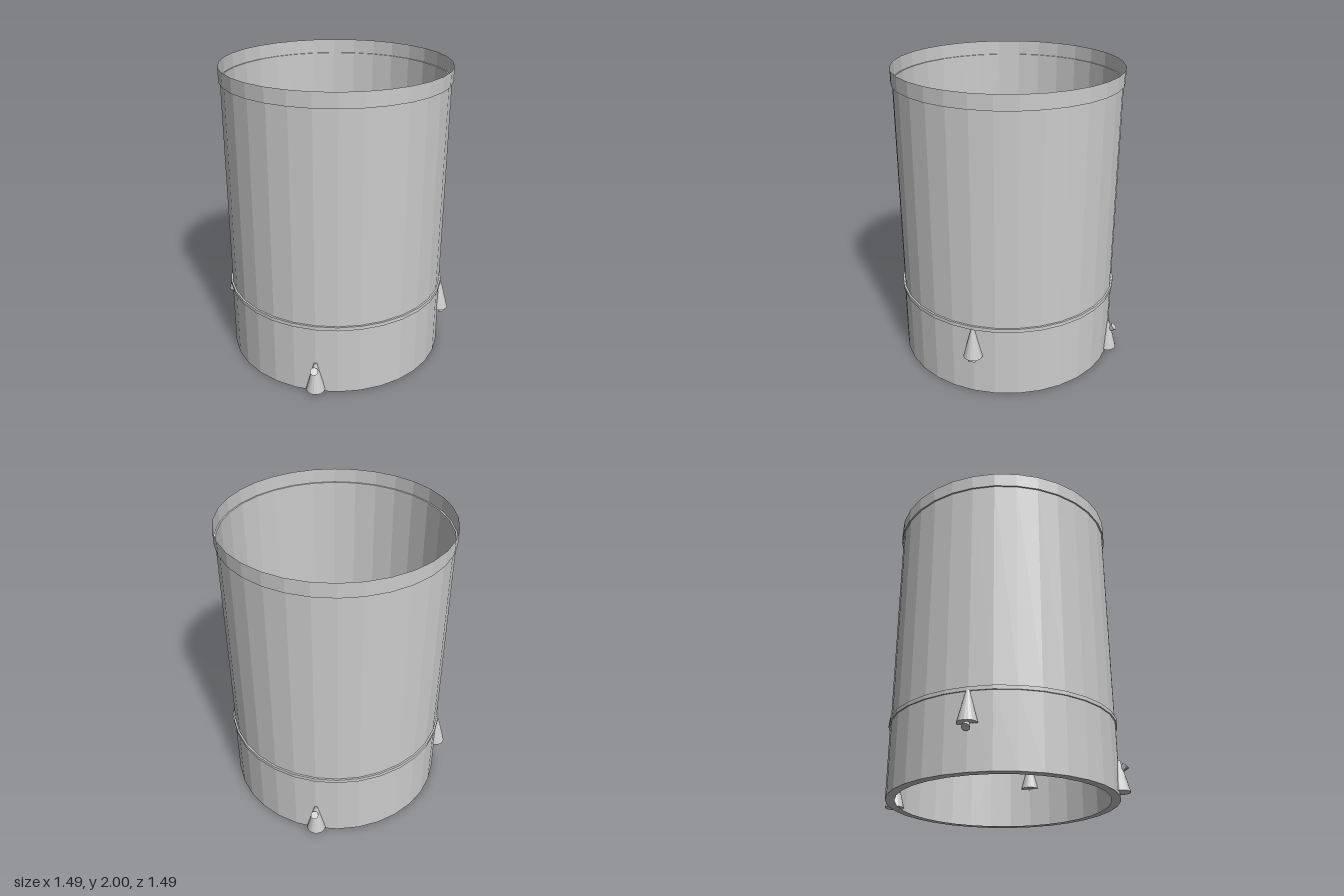
import * as THREE from 'three';

const SIDES = 32;
const material = new THREE.MeshStandardMaterial({
  color: 0xcccccc, flatShading: true, side: THREE.DoubleSide,
});

function addMesh(parent, name, geometry) {
  const mesh = new THREE.Mesh(geometry, material);
  mesh.name = name;
  parent.add(mesh);
  return mesh;
}

// Thin shell of revolution from [radius, height] pairs
function shell(points) {
  return new THREE.LatheGeometry(points.map(([r, y]) => new THREE.Vector2(r, y)), SIDES);
}

// Cone housing with a small flared nozzle; built along +z, then turned to its angle
function thruster(name, angle, baseY, nozzleStart, nozzleEnd) {
  const group = new THREE.Group();
  group.name = name;

  const cone = addMesh(group, 'thrusterCone', new THREE.CylinderGeometry(0.01, 0.063, 0.2, 16));
  cone.position.set(0, baseY + 0.1, 0.742);

  const start = new THREE.Vector3(0, ...nozzleStart);
  const end = new THREE.Vector3(0, ...nozzleEnd);
  const axis = end.clone().sub(start);
  const nozzle = addMesh(group, 'thrusterNozzle',
    new THREE.CylinderGeometry(0.026, 0.013, axis.length(), 12));
  nozzle.position.copy(start).add(end).multiplyScalar(0.5);
  nozzle.quaternion.setFromUnitVectors(new THREE.Vector3(0, 1, 0), axis.normalize());

  group.rotation.y = angle;
  return group;
}

export function createModel() {
  const model = new THREE.Group();
  model.name = 'cylindricalStage';

  // Lower skirt with an inward flange at its foot
  addMesh(model, 'lowerSkirt', shell([[0.68, 0], [0.738, 0], [0.738, 0.475]]));

  // Joint band with an inner ledge
  addMesh(model, 'jointBand', shell([[0.738, 0.475], [0.747, 0.475], [0.747, 0.5], [0.68, 0.5]]));

  // Tall thin-walled body and its slightly wider rim
  addMesh(model, 'upperBody', shell([[0.735, 0.5], [0.735, 1.905]]));
  addMesh(model, 'topRim', shell([[0.735, 1.905], [0.745, 1.905], [0.745, 2]]));

  // Four thrusters: alternating high (nozzle down) and low (nozzle up)
  for (let i = 0; i < 4; i++) {
    const angle = Math.PI / 4 + i * Math.PI / 2;
    model.add(i % 2 === 0
      ? thruster('highThruster', angle, 0.28, [0.287, 0.742], [0.248, 0.77])
      : thruster('lowThruster', angle, 0.02, [0.152, 0.752], [0.186, 0.785]));
  }
  return model;
}
